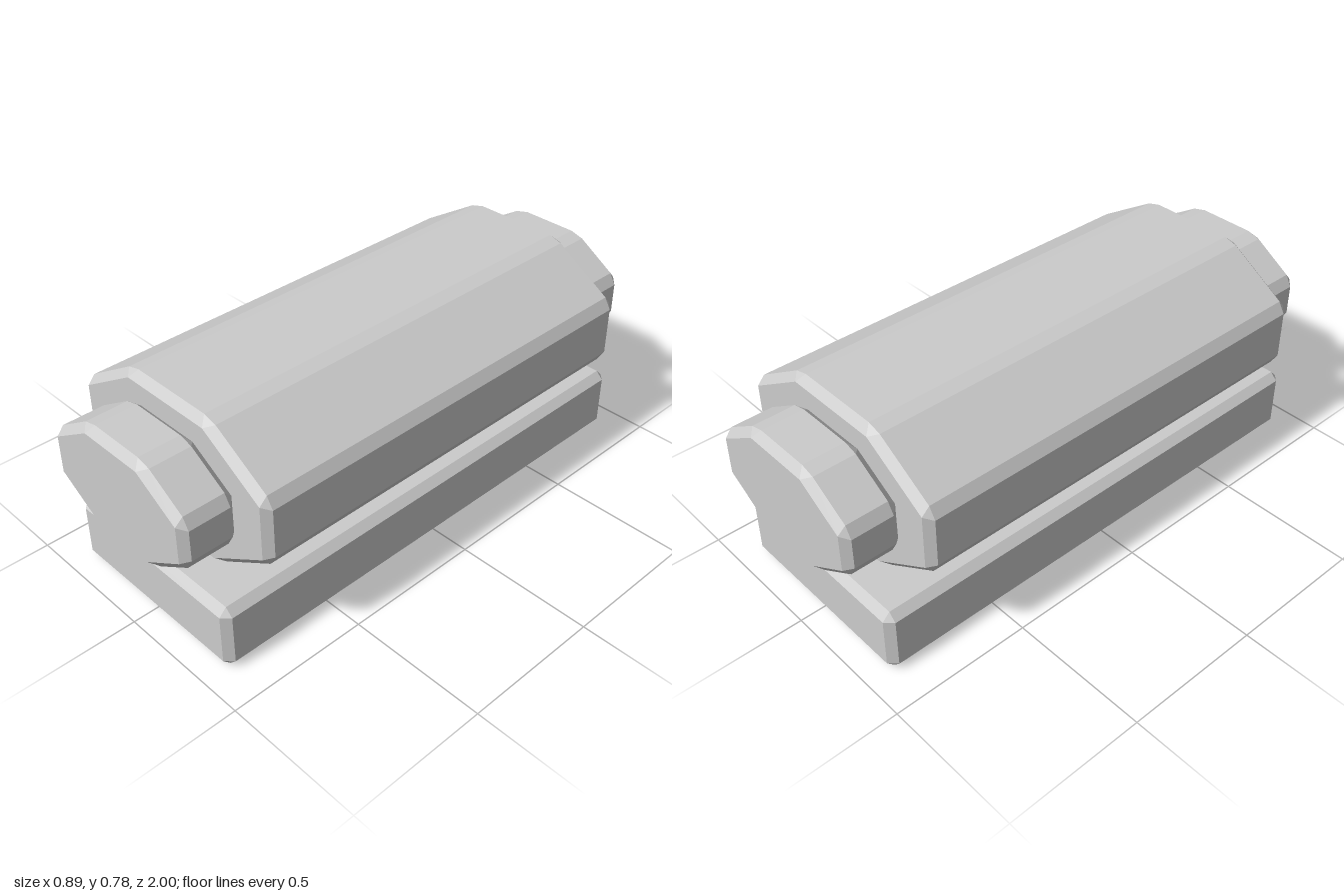
import * as THREE from 'three';
import { ConvexGeometry } from 'three/addons/geometries/ConvexGeometry.js';

const material = new THREE.MeshStandardMaterial({ color: 0xcccccc, flatShading: true });

// Convex solid from one-quadrant section points, mirrored in x, y and z.
// rim: points at the start of the end bevel; cap: points on the end face.
function bevelledPrism(name, rim, cap, halfLength, bevel) {
  const points = [];
  const add = (section, z) => {
    for (const [x, y] of section)
      for (const sx of [-1, 1])
        for (const sy of [-1, 1])
          for (const sz of [-1, 1]) points.push(new THREE.Vector3(sx * x, sy * y, sz * z));
  };
  add(rim, halfLength - bevel);
  add(cap, halfLength);
  const mesh = new THREE.Mesh(new ConvexGeometry(points), material);
  mesh.name = name;
  return mesh;
}

export function createModel() {
  const group = new THREE.Group();
  group.name = 'model';
  const axisY = 0.506;

  // Flat base slab with chamfered edges
  const base = bevelledPrism('base',
    [[0.346, 0.1175], [0.373, 0.09]],
    [[0.346, 0.09]], 0.918, 0.027);
  base.position.y = 0.1175;
  group.add(base);

  // Long octagonal body
  const body = bevelledPrism('body',
    [[0.157, 0.2715], [0.207, 0.258], [0.419, 0.127], [0.443, 0.087]],
    [[0.178, 0.245], [0.417, 0.098]], 0.8, 0.027);
  body.position.y = axisY;
  group.add(body);

  // Smaller octagonal cap on each end
  for (const [name, side] of [['frontCap', 1], ['backCap', -1]]) {
    const cap = bevelledPrism(name,
      [[0.105, 0.196], [0.155, 0.183], [0.296, 0.095], [0.319, 0.055]],
      [[0.125, 0.169], [0.292, 0.067]], 0.1, 0.026);
    cap.position.set(0, axisY, side * 0.9);
    group.add(cap);
  }
  return group;
}
